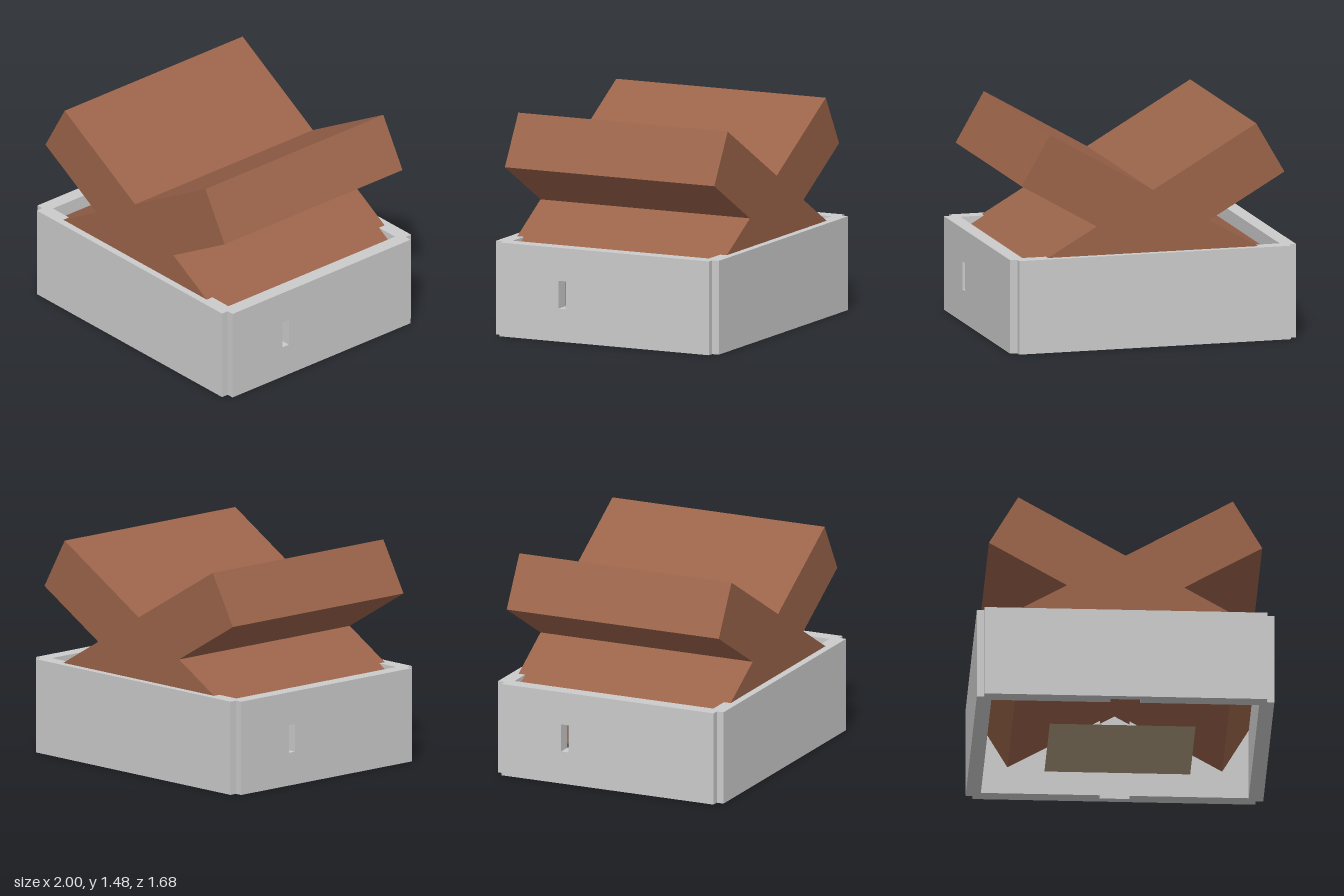
import * as THREE from 'three';

const GREY = 0xcccccc, BROWN = 0x9b644a, TAN = 0xb09e82;
const HEIGHT = 0.64;

const material = (color) => new THREE.MeshStandardMaterial({ color, flatShading: true });
const toShape = (points) => new THREE.Shape(points.map(([x, y]) => new THREE.Vector2(x, y)));
const extrude = (shape, depth) => new THREE.ExtrudeGeometry(shape, { depth, bevelEnabled: false });

// Front wall from its plan: lapped ends and a shallow groove on the inside
function frontWallGeometry() {
  const half = [[0.1, 0.79], [0.1, 0.74], [0.9, 0.74], [0.9, 0.79], [0.95, 0.79], [0.95, 0.84]];
  const mirrored = half.map(([x, z]) => [-x, z]).reverse();
  const plan = [...half, ...mirrored].map(([x, z]) => [x, -z]);
  return extrude(toShape(plan), HEIGHT).rotateX(-Math.PI / 2);
}

// Left wall from its elevation, with a narrow slot cut through
function sideWallGeometry() {
  const shape = toShape([[-0.79, 0], [0.79, 0], [0.79, HEIGHT], [-0.79, HEIGHT]]);
  shape.holes.push(toShape([[-0.345, 0.225], [-0.345, 0.415], [-0.29, 0.415], [-0.29, 0.225]]));
  return extrude(shape, 0.1).rotateY(Math.PI / 2).translate(0.9, 0, 0);
}

// Two slabs crossing at 30 degrees, as one outline
function crossGeometry() {
  const tilt = Math.PI / 6, reach = 0.947, t = 0.197, centre = 0.837;
  const c = Math.cos(tilt), s = Math.sin(tilt);
  const corner = (u, v) => [u * c - v * s, u * s + v * c];
  const low = corner(reach, -t), high = corner(reach, t);
  const notch = t / s, valley = t / c;
  const outline = [
    [notch, 0], low, high, [0, valley],
    [-high[0], high[1]], [-low[0], low[1]], [-notch, 0],
    [-low[0], -low[1]], [-high[0], -high[1]], [0, -valley],
    [high[0], -high[1]], [low[0], -low[1]],
  ];
  return extrude(toShape(outline), 1.58).translate(0, centre, -0.79);
}

export function createModel() {
  const model = new THREE.Group();
  const add = (name, geometry, mat) => {
    const mesh = new THREE.Mesh(geometry, mat);
    mesh.name = name;
    model.add(mesh);
    return mesh;
  };

  // Open frame: each wall is repeated by a half turn
  const grey = material(GREY);
  const front = frontWallGeometry(), side = sideWallGeometry();
  add('frontWall', front, grey);
  add('backWall', front, grey).rotation.y = Math.PI;
  add('leftWall', side, grey);
  add('rightWall', side, grey).rotation.y = Math.PI;

  // Crossed slabs standing in the frame
  add('crossedSlabs', crossGeometry(), material(BROWN));

  // Thin sheet lying on the ground inside the frame
  const sheetMaterial = material(TAN);
  sheetMaterial.side = THREE.DoubleSide;
  add('baseSheet', new THREE.PlaneGeometry(0.98, 0.76).rotateX(-Math.PI / 2), sheetMaterial);

  return model;
}
